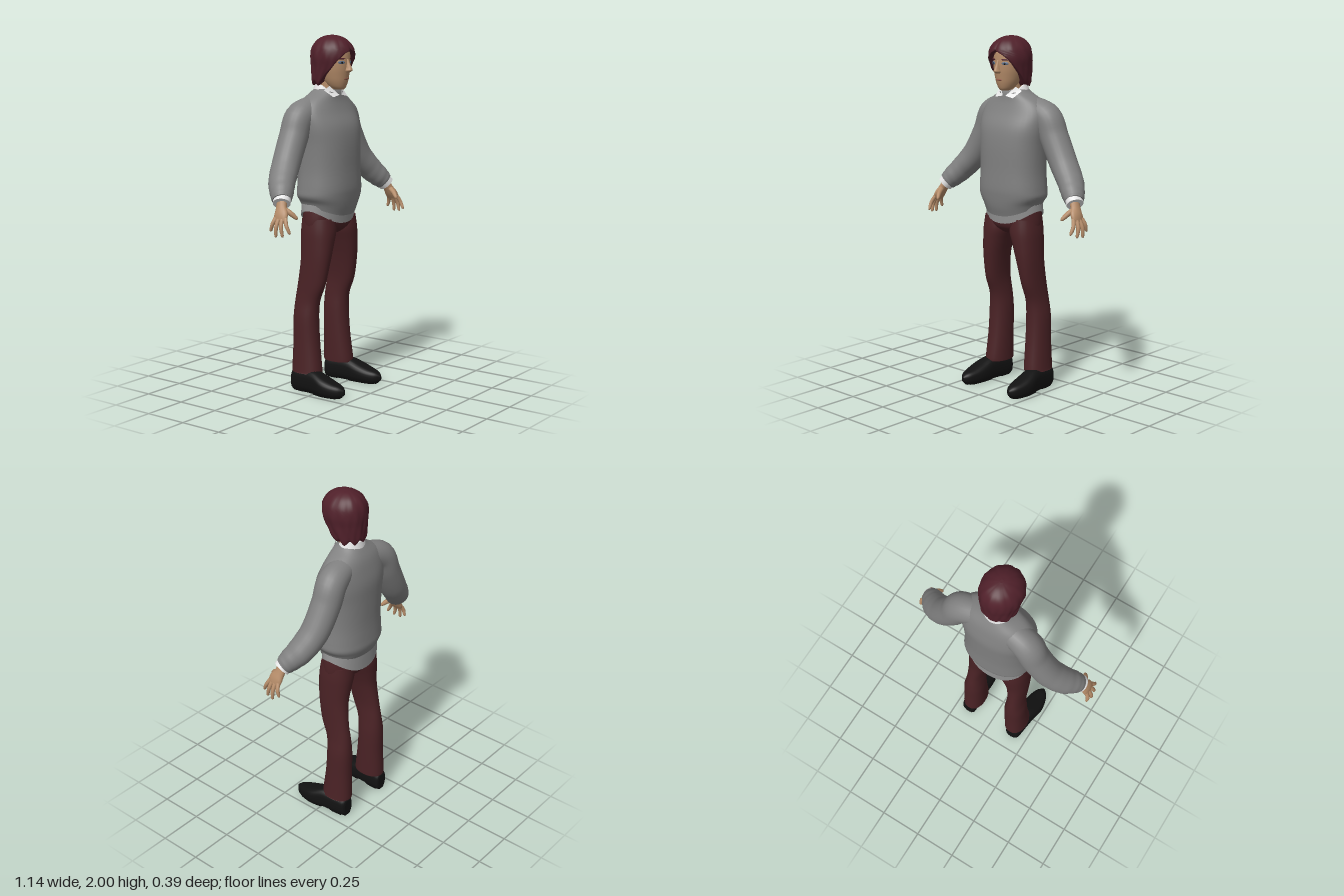
import * as THREE from 'three';

const mat = (name, color) => {
  const m = new THREE.MeshStandardMaterial({ color });
  m.name = name;
  return m;
};

// Smooth interpolation through rows of numbers
function refine(rows, steps) {
  const out = [], at = i => rows[Math.min(rows.length - 1, Math.max(0, i))];
  for (let i = 0; i < rows.length - 1; i++) {
    for (let s = 0; s < steps; s++) {
      const t = s / steps;
      out.push(at(i).map((b, k) => {
        const a = at(i - 1)[k], c = at(i + 1)[k], d = at(i + 2)[k];
        return b + 0.5 * t * (c - a + t * (2 * a - 5 * b + 4 * c - d + t * (3 * (b - c) + d - a)));
      }));
    }
  }
  out.push(rows[rows.length - 1]);
  return out;
}

// Skin over elliptical rings; each row is [x, y, z, radiusU, radiusV].
// axis 'y' or 'z' keeps rings level, 'path' turns them along the path.
// warp(angle, row, t) returns [angle, scale, lift].
function loft(rows, { axis = 'y', n = 24, steps = 4, e = 1, warp } = {}) {
  const R = refine(rows, steps), pos = [], idx = [];
  const V = (...a) => new THREE.Vector3(...a);
  const sp = v => Math.sign(v) * Math.abs(v) ** e;
  const centre = i => V(...R[Math.max(0, Math.min(R.length - 1, i))].slice(0, 3));
  R.forEach((r, i) => {
    let u = V(1, 0, 0), v = axis === 'y' ? V(0, 0, -1) : V(0, 1, 0);
    if (axis === 'path') {
      const t = centre(i + 1).sub(centre(i - 1)).normalize();
      v = V(0, 0, 1).addScaledVector(t, -t.z).normalize();
      u = v.clone().cross(t);
    }
    for (let j = 0; j < n; j++) {
      let th = j / n * Math.PI * 2, k = 1, lift = 0;
      if (warp) [th, k, lift] = warp(th, r, i / (R.length - 1));
      const p = centre(i).addScaledVector(u, sp(Math.cos(th)) * r[3] * k)
        .addScaledVector(v, sp(Math.sin(th)) * r[4] * k);
      pos.push(p.x, p.y + lift, p.z);
    }
  });
  for (let i = 0; i < R.length - 1; i++) for (let j = 0; j < n; j++) {
    const a = i * n + j, b = i * n + (j + 1) % n;
    idx.push(a, b, a + n, b, b + n, a + n);
  }
  // End caps with their own vertices
  for (const [row, flip] of [[0, true], [R.length - 1, false]]) {
    const base = pos.length / 3, c = [0, 0, 0];
    for (let j = 0; j < n; j++) for (let k = 0; k < 3; k++) {
      const q = pos[(row * n + j) * 3 + k];
      pos.push(q);
      c[k] += q / n;
    }
    pos.push(...c);
    for (let j = 0; j < n; j++) {
      const a = base + j, b = base + (j + 1) % n;
      idx.push(...(flip ? [b, a, base + n] : [a, b, base + n]));
    }
  }
  const g = new THREE.BufferGeometry();
  g.setAttribute('position', new THREE.Float32BufferAttribute(pos, 3));
  g.setIndex(idx);
  g.computeVertexNormals();
  return g;
}

// Copy reflected in x with the winding restored
function mirrored(g) {
  const m = g.clone().scale(-1, 1, 1), ix = m.index.array;
  for (let i = 0; i < ix.length; i += 3) [ix[i], ix[i + 1]] = [ix[i + 1], ix[i]];
  m.computeVertexNormals();
  return m;
}

export function createModel() {
  const model = new THREE.Group();
  model.name = 'standingMan';
  const wool = mat('grey wool', 0x808080), cloth = mat('maroon cloth', 0x4a2225);
  const hairMat = mat('auburn hair', 0x50202a), skin = mat('skin', 0xb58c69);
  const white = mat('white shirt', 0xeeeeee), tailMat = mat('shirt tail grey', 0x929292);
  const black = mat('black leather', 0x121212), blue = mat('eye blue', 0x60728c);
  const lip = mat('lips', 0x96604e);
  white.side = THREE.DoubleSide;
  const add = (name, g, m) => {
    const mesh = new THREE.Mesh(g, m);
    mesh.name = name;
    model.add(mesh);
  };
  const pair = (name, g, m) => {
    add(name + 'Left', g, m);
    add(name + 'Right', mirrored(g), m);
  };

  // Sweater body, its hem dipping at the front
  add('sweaterBody', loft([
    [0, 1.05, -.04, .17, .128], [0, 1.08, -.04, .18, .142], [0, 1.115, -.04, .204, .151],
    [0, 1.16, -.037, .204, .153], [0, 1.26, -.037, .198, .15], [0, 1.4, -.04, .203, .15],
    [0, 1.5, -.048, .215, .143], [0, 1.58, -.06, .215, .117], [0, 1.64, -.063, .175, .097],
    [0, 1.685, -.055, .1, .08], [0, 1.705, -.052, .075, .066]],
  { n: 40, e: .88, warp: (th, r, t) => [th, 1, -.045 * Math.max(0, -Math.sin(th)) ** 2 * Math.max(0, 1 - t * 4)] }), wool);

  // Shirt tail below the sweater
  add('shirtTail', loft([[0, 1.035, -.048, .182, .12], [0, 1.07, -.045, .178, .125]],
    { n: 40, e: .9, warp: (th, r, t) => [th, 1, -(1 - t) * .075 * Math.sin(th) ** 2] }), tailMat);

  // Sleeves with soft folds toward the cuff
  pair('sleeve', loft([
    [.1, 1.6, -.08, .07, .075], [.2, 1.553, -.09, .084, .083], [.252, 1.45, -.093, .08, .082],
    [.33, 1.315, -.082, .075, .08], [.405, 1.225, -.052, .068, .076], [.455, 1.168, -.014, .061, .064],
    [.482, 1.137, .008, .05, .052]],
  { axis: 'path', n: 24, steps: 6, warp: (th, r, t) => [th, 1 + .035 * Math.max(0, t - .4) * Math.sin(t * 55 + 1.5 * Math.cos(th)), 0] }), wool);
  pair('shirtCuff', loft([[.467, 1.152, 0, .046, .05], [.493, 1.122, .015, .045, .048]], { axis: 'path' }), white);

  // Hands
  pair('palm', loft([
    [.482, 1.14, .01, .025, .03], [.502, 1.1, .02, .022, .032], [.52, 1.065, .032, .02, .043],
    [.533, 1.035, .036, .013, .04]], { axis: 'path', n: 16 }), skin);
  const fingers = [
    [.526, 1.05, .066, .538, .98, .102], [.535, 1.045, .048, .552, .963, .066],
    [.536, 1.045, .026, .558, .96, .027], [.532, 1.05, .006, .55, .985, -.012]];
  for (const [x, y, z, tx, ty, tz] of fingers) {
    pair('finger', loft([
      [x, y, z, .011, .012], [(x + tx) / 2 + .008, (y + ty) / 2, (z + tz) / 2, .011, .011],
      [tx, ty, tz, .008, .008], [tx - .001, ty - .007, tz, .003, .003]], { axis: 'path', n: 10 }), skin);
  }
  pair('thumb', loft([
    [.502, 1.1, .03, .014, .016], [.488, 1.075, .07, .014, .015], [.473, 1.05, .096, .01, .01],
    [.47, 1.042, .102, .003, .003]], { axis: 'path', n: 10 }), skin);

  // Trousers
  add('trouserHips', loft([
    [0, .9, -.045, .06, .06], [0, .93, -.043, .165, .093], [0, .97, -.042, .181, .108],
    [0, 1.06, -.042, .172, .118]], { n: 36, e: .9 }), cloth);
  pair('trouserLeg', loft([
    [.152, .11, -.083, .066, .09], [.15, .13, -.083, .065, .092], [.145, .28, -.09, .063, .08],
    [.143, .42, -.094, .061, .076], [.14, .52, -.085, .051, .077], [.138, .62, -.058, .049, .088],
    [.127, .75, -.039, .06, .092], [.112, .85, -.037, .074, .099], [.099, .92, -.038, .085, .102],
    [.096, .99, -.04, .08, .095]], { n: 28, e: .9 }), cloth);

  // Shoes, flattened to the ground
  const shoe = loft([
    [.158, .055, -.17, .028, .045], [.16, .058, -.155, .044, .06], [.165, .062, -.08, .05, .065],
    [.17, .063, -.01, .054, .066], [.177, .051, .06, .061, .054], [.178, .042, .12, .053, .043],
    [.178, .038, .17, .034, .032], [.178, .037, .197, .008, .014]], { axis: 'z', n: 28, e: .75 });
  const sp = shoe.attributes.position;
  for (let i = 0; i < sp.count; i++) if (sp.getY(i) < .008) sp.setY(i, 0);
  shoe.computeVertexNormals();
  pair('shoe', shoe, black);

  // Neck, collar band and collar wings
  add('neck', loft([[0, 1.63, -.03, .055, .055], [0, 1.7, -.035, .052, .052], [0, 1.79, -.02, .05, .055]]), skin);
  add('collarBand', loft([[0, 1.68, -.053, .086, .078], [0, 1.73, -.055, .068, .068]],
    { n: 32, warp: (th) => [th, 1, -.055 * Math.max(0, -Math.sin(th)) ** 1.5] }), white);
  const wing = new THREE.BufferGeometry();
  wing.setAttribute('position', new THREE.Float32BufferAttribute(
    [.01, 1.672, .04, .066, 1.662, .04, .088, 1.7, -.01, .055, 1.722, .005], 3));
  wing.setIndex([0, 1, 2, 0, 2, 3]);
  wing.computeVertexNormals();
  pair('collarWing', wing, white);

  // Head and face
  add('head', loft([
    [0, 1.702, .03, .022, .028], [0, 1.715, .018, .042, .05], [0, 1.745, .008, .06, .07],
    [0, 1.78, 0, .072, .084], [0, 1.82, -.005, .081, .094], [0, 1.87, -.01, .085, .1],
    [0, 1.93, -.012, .078, .092], [0, 1.97, -.015, .035, .045]], { n: 32 }), skin);
  add('nose', loft([
    [0, 1.796, .085, .012, .012], [0, 1.807, .09, .018, .028], [0, 1.82, .088, .014, .028],
    [0, 1.845, .084, .01, .019], [0, 1.87, .082, .008, .011]], { n: 16 }), skin);
  const blob = (x, y, z, a, b, c, turn = 0) =>
    new THREE.SphereGeometry(1, 16, 10).scale(a, b, c).rotateY(turn).translate(x, y, z);
  pair('eye', blob(.042, 1.852, .077, .021, .009, .004, .45), blue);
  pair('pupil', blob(.042, 1.851, .08, .006, .006, .003, .45), black);
  pair('eyebrow', blob(.042, 1.872, .077, .024, .004, .004, .45), hairMat);
  add('mouth', blob(0, 1.762, .08, .024, .006, .004), lip);
  pair('ear', blob(.084, 1.82, -.01, .008, .028, .016), skin);

  // Hair: strands around the head, parted over the face
  const partFace = (th, r, t) => {
    const d0 = Math.atan2(Math.cos(th), -Math.sin(th)), q = Math.abs(d0) / Math.PI;
    const w = 1.4 * Math.sqrt(Math.min(1, Math.max(0.0004, (1.915 - r[1]) / .18)));
    const d = Math.sign(d0) * (q < .3 ? w * q / .3 : w + (Math.PI - w) * (q - .3) / .7);
    const strands = 1 + (.022 * Math.sin(11 * d + r[1] * 25) + .014 * Math.sin(19 * d - r[1] * 30)) * (1 - t * .5);
    const inside = q < .28 && r[1] < 1.912;
    return [d - Math.PI / 2, inside ? .55 : strands, .012 * Math.sin(9 * d) * Math.max(0, 1 - t * 3)];
  };
  add('hair', loft([
    [0, 1.735, -.05, .088, .08], [0, 1.75, -.043, .098, .092], [0, 1.79, -.03, .105, .107],
    [0, 1.83, -.018, .11, .121], [0, 1.88, -.013, .116, .128], [0, 1.93, -.013, .107, .12],
    [0, 1.97, -.016, .078, .092], [0, 1.993, -.018, .04, .05], [0, 2, -.018, .008, .01]],
  { n: 80, steps: 5, warp: partFace }), hairMat);

  return model;
}
